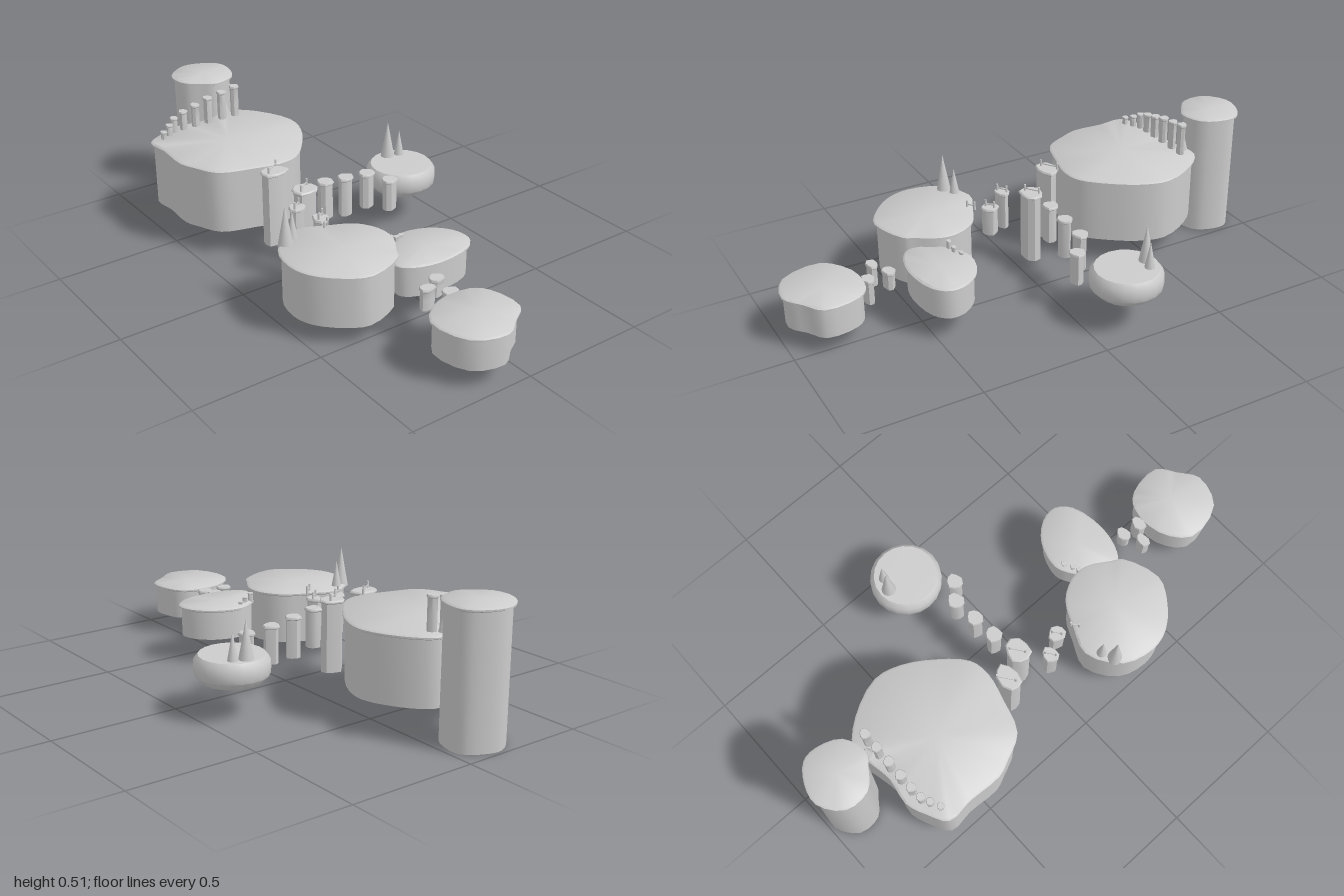
import * as THREE from 'three';
import { toCreasedNormals } from 'three/addons/utils/BufferGeometryUtils.js';

const material = new THREE.MeshStandardMaterial({ color: 0xcccccc, side: THREE.DoubleSide });

function add(parent, name, geometry, x = 0, y = 0, z = 0) {
  const mesh = new THREE.Mesh(geometry, material);
  mesh.name = name;
  mesh.position.set(x, y, z);
  parent.add(mesh);
  return mesh;
}

// Plateau: a closed [x, z] outline carried down as loops, with an overhanging rim.
function plateau(outline, top, bottom, lip = 0.018, inset = 0.012) {
  const n = outline.length;
  const cx = outline.reduce((s, p) => s + p[0], 0) / n;
  const cz = outline.reduce((s, p) => s + p[1], 0) / n;
  // rows of [inward offset (null = centre point), height]
  const rows = [
    [null, top], [inset * 0.7, top], [0, top - lip * 0.35], [0, top - lip * 0.7],
    [inset, top - lip], [inset, (top + bottom) / 2], [inset, bottom], [null, bottom],
  ];
  const pos = [], index = [];
  for (const [offset, y] of rows) {
    for (const [x, z] of outline) {
      const dx = x - cx, dz = z - cz;
      const k = offset === null ? 0 : 1 - offset / Math.hypot(dx, dz);
      pos.push(cx + dx * k, y, cz + dz * k);
    }
  }
  for (let r = 0; r < rows.length - 1; r++) {
    for (let i = 0; i < n; i++) {
      const a = r * n + i, b = r * n + (i + 1) % n;
      if (r > 0) index.push(a, b, a + n);
      if (r < rows.length - 2) index.push(b, b + n, a + n);
    }
  }
  const geometry = new THREE.BufferGeometry();
  geometry.setAttribute('position', new THREE.Float32BufferAttribute(pos, 3));
  geometry.setIndex(index);
  return toCreasedNormals(geometry, 0.7);
}

// Softly rounded version of a rough outline.
function soften(points) {
  const curve = new THREE.CatmullRomCurve3(points.map(([x, z]) => new THREE.Vector3(x, 0, z)), true);
  const count = points.length * 3;
  return Array.from({ length: count }, (_, i) => {
    const p = curve.getPoint(i / count);
    return [p.x, p.z];
  });
}

// Uneven rock column with a capped top.
function column(parent, name, x, z, rx, rz, top, bottom, seed = 0) {
  const outline = Array.from({ length: 9 }, (_, i) => {
    const a = (i / 9) * Math.PI * 2 + seed;
    const k = 1 + 0.09 * Math.sin(i * 2.3 + seed * 3);
    return [x + Math.cos(a) * rx * k, z + Math.sin(a) * rz * k];
  });
  const r = Math.min(rx, rz);
  add(parent, name, plateau(outline, top, bottom, Math.min(0.014, r * 0.6), r * 0.17));
}

function spike(parent, x, z, radius, base, tip) {
  add(parent, 'spike', new THREE.ConeGeometry(radius, tip - base, 16), x, (base + tip) / 2, z);
}

export function createModel() {
  const model = new THREE.Group();
  model.name = 'floatingIslands';

  // Large flat-topped islands
  const islands = [
    ['mainIsland', 0.365, 0.10, [[-.49, -.68], [-.42, -.725], [-.34, -.755], [-.235, -.74], [-.14, -.755],
      [-.065, -.765], [.02, -.685], [.083, -.54], [.06, -.435], [-.01, -.325], [-.10, -.235], [-.18, -.22],
      [-.29, -.245], [-.415, -.29], [-.465, -.38], [-.49, -.445], [-.485, -.58]]],
    ['towerIsland', 0.51, 0, [[-.165, -.995], [-.085, -.98], [-.02, -.93], [-.012, -.87], [-.05, -.78],
      [-.14, -.75], [-.19, -.78], [-.25, -.835], [-.25, -.93]]],
    ['leftIsland', 0.28, 0.07, [[-.345, .12], [-.235, .16], [-.14, .21], [-.092, .29], [-.092, .365],
      [-.14, .45], [-.165, .49], [-.31, .54], [-.395, .50], [-.48, .41], [-.503, .32], [-.47, .20]]],
    ['middleIsland', 0.23, 0.10, [[0, .29], [.11, .32], [.175, .39], [.185, .46], [.135, .515], [-.01, .54],
      [-.12, .51], [-.155, .47], [-.12, .37], [-.065, .32]]],
    ['frontIsland', 0.207, 0.075, [[-.16, .70], [-.025, .70], [.03, .75], [.045, .885], [-.025, .94],
      [-.10, .99], [-.225, .945], [-.262, .785]]],
  ];
  for (const [name, top, bottom, outline] of islands) {
    add(model, name, plateau(soften(outline), top, bottom));
  }

  // Round bowl-shaped island
  const bowl = [[0, .13], [.112, .13], [.138, .158], [.14, .18], [.138, .21], [.122, .23], [0, .232]]
    .map(([r, y]) => new THREE.Vector2(r, y));
  add(model, 'roundIsland', toCreasedNormals(new THREE.LatheGeometry(bowl, 20), 0.7), 0.362, 0, -0.165);

  // Rising row of pillars at the back of the main island
  const stairs = [[-.435, -.672, .396], [-.40, -.69, .41], [-.37, -.705, .428], [-.325, -.71, .444],
    [-.27, -.71, .458], [-.21, -.71, .474], [-.145, -.71, .484], [-.085, -.71, .495]];
  stairs.forEach(([x, z, top], i) => {
    const r = 0.014 + Math.min(i, 4) * 0.0015;
    column(model, 'stairPillar', x, z, r, r, top, 0.35, i);
  });

  // Stepping columns: x, z, radius x, radius z, top, bottom
  const steps = [
    [-.065, -.09, .033, .032, .305, .15], [.035, -.095, .033, .031, .292, .13],
    [.14, -.10, .034, .031, .278, .13], [.21, -.045, .034, .031, .25, .12],
    [-.24, -.175, .057, .039, .365, .06], [-.175, -.067, .052, .045, .315, .025],
    [-.265, .015, .034, .030, .30, .145], [-.215, .095, .031, .035, .275, .16],
    [-.075, .59, .032, .025, .212, .14], [-.145, .627, .032, .022, .215, .13],
    [-.08, .67, .032, .025, .20, .10],
  ];
  steps.forEach((s, i) => column(model, 'stepColumn', ...s, i * 1.3));

  // Three tiny steps between the middle and left islands
  [[-.08, .34, .262], [-.05, .335, .25], [-.018, .32, .24]].forEach(([x, z, top], i) =>
    column(model, 'smallStep', x, z, 0.012, 0.01, top, 0.22, i));

  // Slim railing posts with a cross rail on the linking columns
  const rails = [[-.24, -.185, .36, .035], [-.175, -.07, .31, .03], [-.265, .015, .295, .02],
    [-.215, .095, .27, .018], [-.24, .165, .275, .016]];
  for (const [x, z, y, half] of rails) {
    const railing = new THREE.Group();
    railing.name = 'railing';
    for (const side of [-1, 1]) {
      add(railing, 'post', new THREE.CylinderGeometry(0.004, 0.005, 0.034, 8), side * half, 0.014, 0);
    }
    add(railing, 'rail', new THREE.BoxGeometry(half * 2, 0.004, 0.004), 0, 0.015, 0);
    railing.position.set(x, y, z);
    railing.rotation.y = Math.PI / 5;
    model.add(railing);
  }

  // Pointed spikes
  spike(model, -.43, .19, .029, .27, .43);
  spike(model, -.385, .165, .021, .27, .385);
  spike(model, .36, -.25, .029, .225, .38);
  spike(model, .407, -.235, .021, .225, .336);
  spike(model, -.113, -.74, .021, .36, .445);

  return model;
}
